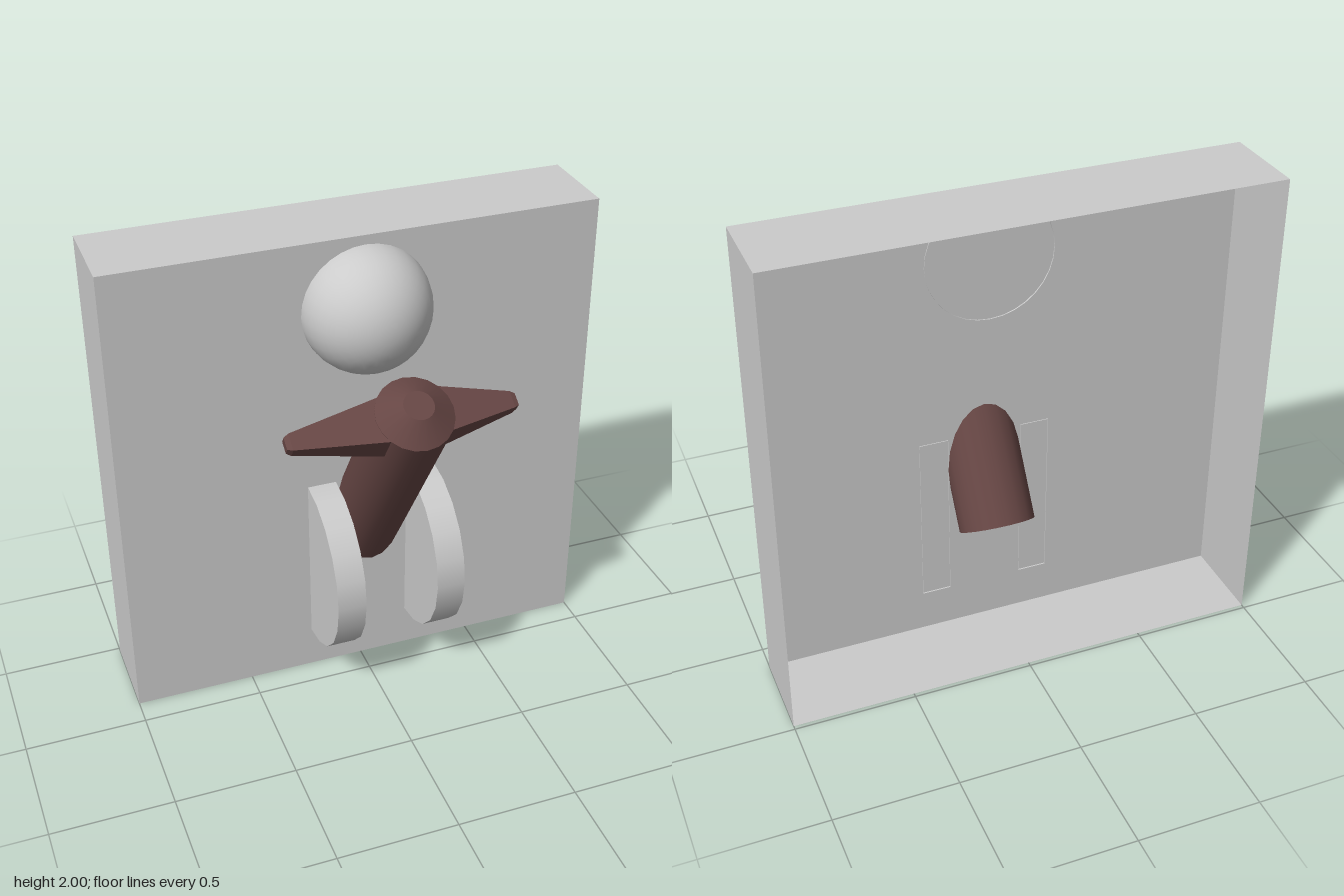
import * as THREE from 'three';

const grey = new THREE.MeshStandardMaterial({ color: 0xcccccc, side: THREE.DoubleSide });
const brown = new THREE.MeshStandardMaterial({ color: 0x664644, side: THREE.DoubleSide });

function part(parent, name, geometry, material, x = 0, y = 0, z = 0) {
  const mesh = new THREE.Mesh(geometry, material);
  mesh.name = name;
  mesh.position.set(x, y, z);
  parent.add(mesh);
  return mesh;
}

// Crossbar: a box whose cross-section shrinks towards both bevelled tips
function crossbarGeometry() {
  const stations = [[-0.495, 0.27], [-0.475, 0.38], [-0.125, 1], [0.125, 1], [0.405, 0.38], [0.425, 0.27]];
  const box = new THREE.BoxGeometry(5, 0.123, 0.184, 5, 1, 1);
  const p = box.attributes.position;
  for (let i = 0; i < p.count; i++) {
    const [x, s] = stations[Math.round(p.getX(i) + 2.5)];
    p.setXYZ(i, x, p.getY(i) * s, p.getZ(i) * s);
  }
  const flat = box.toNonIndexed();
  flat.computeVertexNormals();
  return flat;
}

export function createModel() {
  const model = new THREE.Group();
  model.name = 'wallLever';
  const cutZ = -0.117; // round parts end just behind the panel face

  // Backing panel: a shallow tray, open at the back
  const tray = new THREE.BoxGeometry(2, 2, 0.37);
  tray.setIndex(Array.from(tray.index.array).slice(0, 30));
  part(model, 'panel', tray, grey, 0, 1, -0.297);

  // Half ball above the lever
  const ball = new THREE.SphereGeometry(0.262, 32, 10, 0, Math.PI * 2, 0, Math.PI / 2);
  ball.rotateX(Math.PI / 2);
  part(model, 'halfBall', ball, grey, 0.027, 1.7, cutZ);

  // Half discs on both sides of the lever
  for (const [name, x] of [['rightHalfDisc', -0.165], ['leftHalfDisc', 0.265]]) {
    const disc = new THREE.CylinderGeometry(0.37, 0.37, 0.12, 10, 1, false, -Math.PI / 2, Math.PI);
    disc.rotateZ(Math.PI / 2);
    part(model, name, disc, grey, x, 0.555, cutZ);
  }

  // Lever leaning forward; its origin is the centre of the shaft's top rim
  const lever = new THREE.Group();
  lever.name = 'lever';
  lever.position.set(0.05, 1.478, 0.35);
  lever.rotation.x = 0.584;
  model.add(lever);
  const r = 0.154, length = 1.094, capHeight = 0.068;
  part(lever, 'shaft', new THREE.CylinderGeometry(r, r, length, 20, 1, true), brown, 0, -length / 2, 0);
  part(lever, 'cap', new THREE.CylinderGeometry(0.06, r, capHeight, 20, 1, true), brown, 0, capHeight / 2, 0);
  part(lever, 'capTop', new THREE.CircleGeometry(0.06, 20).rotateX(-Math.PI / 2), brown, 0, capHeight, 0);
  part(lever, 'crossbar', crossbarGeometry(), brown, 0, -0.061, 0);

  return model;
}
